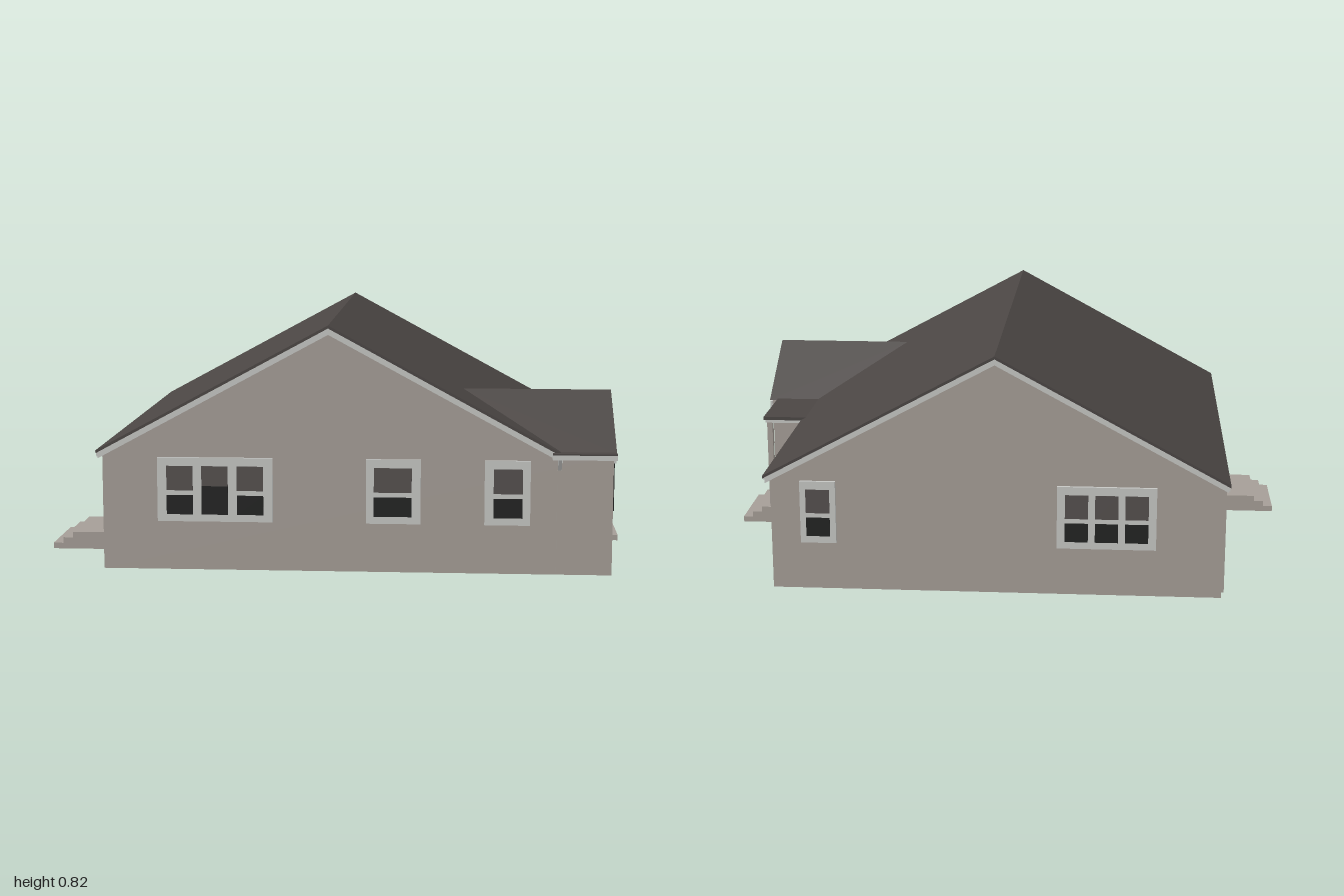
import * as THREE from 'three';

const paint = (name, color, side = THREE.FrontSide) => {
  const m = new THREE.MeshStandardMaterial({ color, side });
  m.name = name;
  return m;
};

export function createModel() {
  const house = new THREE.Group();
  house.name = 'house';
  const siding = paint('taupe siding', 0xa59e97, THREE.DoubleSide);
  const trim = paint('pale trim', 0xc6c7c4);
  const shingle = paint('dark shingles', 0x4b4644, THREE.DoubleSide);
  const paleGlass = paint('grey glass', 0x55504e);
  const black = paint('black glass and shutters', 0x222322);
  const doorPaint = paint('door brown', 0x4f4a48);

  const add = (parent, name, geometry, material) => {
    const m = new THREE.Mesh(geometry, material);
    m.name = name;
    parent.add(m);
    return m;
  };
  // box given by its minimum and maximum on each axis
  const box = (parent, name, material, x0, x1, y0, y1, z0, z1) => {
    const m = add(parent, name, new THREE.BoxGeometry(x1 - x0, y1 - y0, z1 - z0), material);
    m.position.set((x0 + x1) / 2, (y0 + y1) / 2, (z0 + z1) / 2);
    return m;
  };
  // a wall sheet in its own group; local x runs to the right as seen from outside
  const wall = (name, x, z, turn, outline) => {
    const g = new THREE.Group();
    g.name = name;
    g.position.set(x, 0, z);
    g.rotation.y = turn;
    house.add(g);
    const shape = new THREE.Shape(outline.map(p => new THREE.Vector2(...p)));
    add(g, name + 'Siding', new THREE.ShapeGeometry(shape), siding);
    return g;
  };
  // flat panel straddling a wall, seen from both sides
  const panel = (side, name, mat, x0, x1, y0, y1, d) => box(side, name, mat, x0, x1, y0, y1, -d, d);

  // sash window: frame, then one pale and one black pane per sash
  const sashWindow = (side, x0, x1, y0, y1, centres, paneWidth, tallMiddle = false) => {
    const g = new THREE.Group();
    g.name = 'window';
    side.add(g);
    panel(g, 'windowFrame', trim, x0, x1, y0, y1, 0.01);
    centres.forEach((c, i) => {
      const tall = tallMiddle && i === 1;
      const a = c - paneWidth / 2, b = c + paneWidth / 2;
      const split = y0 + 0.105;
      panel(g, 'upperPane', paleGlass, a, b, tall ? split + 0.015 : split, y1 - 0.028, 0.012);
      panel(g, 'lowerPane', black, a, b, y0 + 0.024, tall ? split + 0.015 : split - 0.016, 0.012);
    });
  };
  const shutters = (side, x0, x1, y0, y1, w) => {
    panel(side, 'shutter', black, x0 - w, x0, y0, y1, 0.013);
    panel(side, 'shutter', black, x1, x1 + w, y0, y1, 0.013);
  };
  const door = (side, x0, x1) => {
    panel(side, 'doorFrame', siding, x0 - 0.018, x1 + 0.018, 0.06, 0.375, 0.008);
    panel(side, 'door', doorPaint, x0, x1, 0.06, 0.36, 0.011);
    panel(side, 'doorHandle', trim, x1 - 0.012, x1 - 0.005, 0.175, 0.205, 0.018);
  };

  // walls, open underneath
  const front = wall('frontWall', 0, 0.735, 0,
    [[-0.76, 0], [0.93, 0], [0.93, 0.4], [0.75, 0.4], [-0.005, 0.808], [-0.76, 0.398]]);
  const back = wall('backWall', 0, -0.745, Math.PI,
    [[-0.75, 0], [0.76, 0], [0.76, 0.398], [0.005, 0.808], [-0.75, 0.4]]);
  const left = wall('sideWall', -0.76, 0, -Math.PI / 2,
    [[-0.745, 0], [0.735, 0], [0.735, 0.398], [-0.745, 0.398]]);
  const right = wall('porchSideWall', 0.75, 0, Math.PI / 2,
    [[-0.19, 0], [0.745, 0], [0.745, 0.4], [-0.19, 0.4]]);
  const wing = wall('wingGableWall', 0.93, 0, Math.PI / 2,
    [[-0.735, 0], [-0.19, 0], [-0.19, 0.408], [-0.455, 0.574], [-0.735, 0.398]]);
  wall('wingReturnWall', 0, 0.19, Math.PI,
    [[-0.93, 0], [-0.75, 0], [-0.75, 0.408], [-0.93, 0.408]]);

  // windows and doors
  sashWindow(front, -0.575, -0.19, 0.165, 0.38, [-0.5, -0.383, -0.265], 0.088, true);
  sashWindow(front, 0.12, 0.3, 0.165, 0.38, [0.208], 0.125);
  sashWindow(front, 0.51, 0.66, 0.165, 0.38, [0.587], 0.095);
  sashWindow(back, -0.65, -0.53, 0.165, 0.38, [-0.59], 0.08);
  sashWindow(back, 0.21, 0.54, 0.165, 0.38, [0.275, 0.375, 0.475], 0.077);
  sashWindow(left, -0.015, 0.115, 0.175, 0.385, [0.05], 0.085);
  sashWindow(left, 0.51, 0.64, 0.175, 0.385, [0.575], 0.085);
  door(left, 0.25, 0.37);
  sashWindow(right, 0.2, 0.61, 0.175, 0.39, [0.277, 0.403, 0.53], 0.092);
  shutters(right, 0.2, 0.61, 0.18, 0.385, 0.065);
  door(right, -0.125, 0);
  sashWindow(wing, -0.565, -0.355, 0.192, 0.378, [-0.46], 0.19);
  shutters(wing, -0.565, -0.355, 0.195, 0.375, 0.06);

  // folded strip with a ridge, extruded along its local z
  const chevron = (name, mat, half, ridge, drop, thick, depth) => {
    const s = new THREE.Shape([[-half, ridge - drop], [-half, ridge - drop - thick], [0, ridge - thick],
      [half, ridge - drop - thick], [half, ridge - drop], [0, ridge]].map(p => new THREE.Vector2(...p)));
    return add(house, name, new THREE.ExtrudeGeometry(s, { depth, bevelEnabled: false }), mat);
  };
  // main roof and rake boards
  chevron('mainRoof', shingle, 0.775, 0.822, 0.42, 0.01, 1.52).position.set(-0.005, 0, -0.77);
  chevron('frontRake', trim, 0.768, 0.813, 0.416, 0.022, 0.01).position.set(-0.005, 0, 0.738);
  chevron('backRake', trim, 0.768, 0.813, 0.416, 0.022, 0.018).position.set(-0.005, 0, -0.766);
  const wingRake = chevron('wingRake', trim, 0.274, 0.577, 0.174, 0.03, 0.009);
  wingRake.rotation.y = Math.PI / 2;
  wingRake.position.set(0.93, 0, 0.455);

  // wing roof slopes, ending along the valleys
  const slope = (name, z) => {
    const g = new THREE.BufferGeometry();
    const pts = [0.438, 0.582, 0.455, 0.94, 0.582, 0.455, 0.94, 0.407, z, 0.762, 0.407, z];
    g.setAttribute('position', new THREE.Float32BufferAttribute(pts, 3));
    g.setIndex(z > 0.455 ? [0, 2, 1, 0, 3, 2] : [0, 1, 2, 0, 2, 3]);
    g.computeVertexNormals();
    add(house, name, g, shingle);
  };
  slope('wingRoofFront', 0.73);
  slope('wingRoofBack', 0.18);

  // gutters and downspouts
  box(house, 'sideGutter', trim, -0.778, -0.762, 0.38, 0.4, -0.765, 0.745);
  box(house, 'porchSideGutter', trim, 0.752, 0.768, 0.388, 0.4, -0.765, -0.08);
  box(house, 'wingGutter', trim, 0.73, 0.94, 0.388, 0.404, 0.728, 0.765);
  box(house, 'wingGutterCap', shingle, 0.73, 0.94, 0.404, 0.409, 0.725, 0.766);
  const elbow = box(house, 'downspoutElbow', trim, 0.748, 0.76, 0.345, 0.395, 0.743, 0.753);
  elbow.rotation.x = 0.5;
  box(house, 'downspout', siding, 0.747, 0.761, 0.01, 0.35, 0.735, 0.744);
  box(house, 'downspout', siding, 0.75, 0.762, 0.01, 0.39, -0.106, -0.092);
  box(house, 'downspout', siding, -0.77, -0.76, 0.01, 0.385, -0.72, -0.705);

  // porch cover and post
  box(house, 'porchRoof', shingle, 0.74, 0.91, 0.4, 0.412, -0.08, 0.185);
  box(house, 'porchCeiling', trim, 0.752, 0.905, 0.388, 0.4, -0.075, 0.189);
  box(house, 'porchPost', siding, 0.88, 0.9, 0.06, 0.388, -0.07, -0.05);

  // stoops with two lower steps on both sides
  const stoop = (name, sign, wallX, z0, z1) => {
    [[0.93, 0.06], [0.965, 0.04], [1, 0.02]].forEach(([reach, h], i, all) => {
      const a = sign * (i ? all[i - 1][0] : wallX), b = sign * reach;
      box(house, name, siding, Math.min(a, b), Math.max(a, b), 0, h, z0, z1);
    });
  };
  stoop('porchSteps', 1, 0.751, -0.08, 0.188);
  stoop('sideSteps', -1, 0.761, 0.18, 0.45);

  return house;
}
